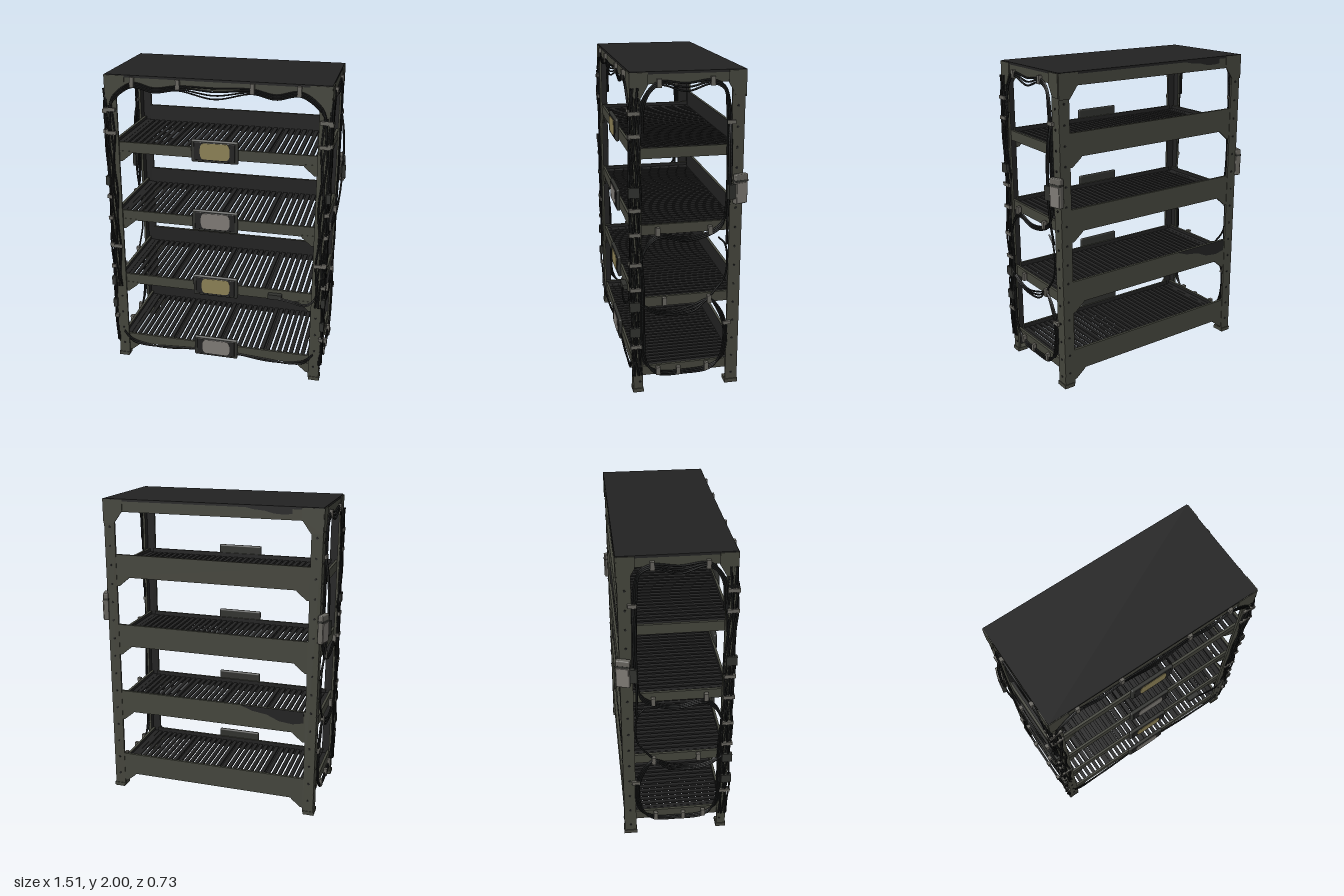
import * as THREE from 'three';
import { RoundedBoxGeometry } from 'three/addons/geometries/RoundedBoxGeometry.js';

const mat = (name, color, side = THREE.FrontSide) => {
  const m = new THREE.MeshStandardMaterial({ color, side });
  m.name = name;
  return m;
};

export function createModel() {
  const olive = mat('olive paint', 0x44453c);
  const dark = mat('dark sheet', 0x222222);
  const black = mat('cable black', 0x161717);
  const frameGrey = mat('label frame', 0x30312e);
  const grey = mat('pale grey', 0x7e7a75);
  const yellow = mat('faded yellow', 0x8b8055);
  const clipGrey = mat('clip grey', 0x66645e);

  const root = new THREE.Group();
  root.name = 'storageRack';
  const add = (name, geo, material, x = 0, y = 0, z = 0, parent = root) => {
    const m = new THREE.Mesh(geo, material);
    m.name = name;
    m.position.set(x, y, z);
    parent.add(m);
    return m;
  };
  // box given by its minimum and maximum corners
  const box = (name, x0, x1, y0, y1, z0, z1, material) =>
    add(name, new THREE.BoxGeometry(Math.abs(x1 - x0), y1 - y0, Math.abs(z1 - z0)), material,
      (x0 + x1) / 2, (y0 + y1) / 2, (z0 + z1) / 2);
  // olive everywhere, dark on one face (0 +x, 1 -x, 2 +y, 3 -y, 4 +z, 5 -z)
  const lined = face => [0, 1, 2, 3, 4, 5].map(i => (i === face ? dark : olive));

  const plate = (name, pts, depth, material, x, y, z, ry = 0) => {
    const s = new THREE.Shape(pts.map(p => new THREE.Vector2(p[0], p[1])));
    const m = add(name, new THREE.ExtrudeGeometry(s, { depth, bevelEnabled: false }), material, x, y, z);
    m.rotation.y = ry;
    return m;
  };
  const cable = (name, pts, r = 0.006) => {
    const c = new THREE.CatmullRomCurve3(pts.map(p => new THREE.Vector3(...p)));
    return add(name, new THREE.TubeGeometry(c, pts.length * 6, r, 6), black);
  };
  const clip = (x, y, z, w, h, d) =>
    add('cableClip', new THREE.BoxGeometry(w, h, d), clipGrey, x, y, z);

  // roof sheet with its four edge rails
  box('roofSheet', -0.7, 0.7, 1.985, 2, -0.35, 0.325, dark);
  box('roofFrontRail', -0.69, 0.69, 1.93, 1.987, 0.305, 0.322, lined(5));
  box('roofBackRail', -0.69, 0.69, 1.92, 1.987, -0.347, -0.33, lined(4));
  for (const s of [-1, 1])
    box('roofSideRail', s * 0.682, s * 0.698, 1.93, 1.987, -0.34, 0.32, lined(s > 0 ? 1 : 0));

  // angle posts, feet, corner brackets and bolts
  const boltGeo = new THREE.CylinderGeometry(0.007, 0.007, 0.006, 8);
  for (const s of [-1, 1]) for (const f of [-1, 1]) {
    const zo = f > 0 ? 0.323 : -0.345, zi = f > 0 ? 0.265 : -0.268;
    box('postFace', s * 0.63, s * 0.7, 0.015, 1.99, zo, zo - f * 0.014, lined(f > 0 ? 5 : 4));
    box('postSide', s * 0.686, s * 0.701, 0.015, 1.99, zo - f * 0.001, zi, lined(s > 0 ? 1 : 0));
    box('foot', s * 0.635, s * 0.706, 0, 0.025, zo + f * 0.004, zi - f * 0.004, olive);
    plate('cornerBracket', [[0, 0], [-s * 0.13, 0], [-s * 0.13, -0.07], [-s * 0.072, -0.15], [0, -0.15]],
      0.006, olive, s * 0.702, 1.996, f > 0 ? zo : zo - 0.006);
    plate('sideBracket', [[0, 0], [f * 0.1, 0], [f * 0.1, -0.07], [f * 0.06, -0.14], [0, -0.14]],
      0.006, olive, s > 0 ? 0.7 : -0.706, 1.996, zo, Math.PI / 2);
    for (let i = 0; i < 16; i++) {
      const y = 0.07 + i * 0.123;
      add('postBolt', boltGeo, dark, s * 0.702, y, zo - f * 0.04).rotation.z = Math.PI / 2;
      add('postBolt', boltGeo, dark, s * 0.665, y + 0.03, zo + f * 0.001).rotation.x = Math.PI / 2;
    }
  }

  // shelves
  const slatGeo = new THREE.BoxGeometry(0.026, 0.012, 0.62);
  [0.105, 0.57, 1.035, 1.5].forEach((y, k) => {
    box('shelfFrontRail', -0.64, 0.64, y, y + 0.068, 0.295, 0.31, lined(5));
    box('shelfBackRail', -0.64, 0.64, y, y + 0.147, -0.342, -0.325, lined(4));
    for (const s of [-1, 1]) {
      box('shelfSideRail', s * 0.668, s * 0.685, y, y + 0.063, -0.33, 0.305, lined(s > 0 ? 1 : 0));
      for (const z of [0.3, -0.342])
        plate('railGusset', [[s * 0.635, 0.01], [s * 0.54, 0.01], [s * 0.555, -0.01], [s * 0.615, -0.06], [s * 0.635, -0.06]],
          0.012, olive, 0, y, z);
      box('slatLedge', s * 0.635, s * 0.67, y + 0.03, y + 0.042, -0.33, 0.3, dark);
    }
    for (let i = 0; i < 32; i++)
      add('shelfSlat', slatGeo, dark, -0.62 + i * 0.04, y + 0.036, -0.014);
    for (const x of [-0.32, 0, 0.32])
      box('slatBearer', x - 0.012, x + 0.012, y + 0.012, y + 0.03, -0.325, 0.296, dark);

    // label holder with its coloured card
    const cy = y + 0.051;
    add('labelHolder', new RoundedBoxGeometry(0.3, 0.145, 0.024, 2, 0.011), frameGrey, -0.005, cy, 0.316);
    add('labelRim', new RoundedBoxGeometry(0.262, 0.116, 0.012, 2, 0.005), dark, -0.005, cy, 0.325);
    const r = new THREE.Shape();
    r.moveTo(-0.075, -0.05).lineTo(0.07, -0.05).quadraticCurveTo(0.097, -0.045, 0.095, 0)
      .quadraticCurveTo(0.097, 0.053, 0.07, 0.055).lineTo(-0.07, 0.053)
      .quadraticCurveTo(-0.095, 0.05, -0.095, 0).quadraticCurveTo(-0.095, -0.045, -0.075, -0.05);
    add('labelCard', new THREE.ExtrudeGeometry(r, { depth: 0.003, bevelEnabled: false }),
      k % 2 ? yellow : grey, -0.002, cy, 0.331);
  });

  // worn dark patches on the back rails
  const wear = [[-0.62, 0], [-0.62, -0.075], [-0.55, -0.09], [-0.46, -0.08], [-0.38, -0.045], [-0.28, -0.03], [-0.2, 0]];
  plate('wornPatch', wear, 0.002, dark, 0, 0.717, -0.3445);
  plate('wornPatch', wear.map(p => [p[0] * 0.7 - 0.08, p[1] * 0.4]), 0.002, dark, 0, 1.987, -0.3495);

  // cable runs hanging on the roof front
  for (let i = 0; i < 4; i++) {
    const d = i * 0.009;
    cable('roofFrontCable', [[-0.68, 1.78, 0.332], [-0.645, 1.87 - d, 0.334], [-0.52, 1.955 - d, 0.332], [-0.38, 1.93 - d, 0.335],
      [-0.23, 1.95 - d, 0.332], [0, 1.95 - i * 0.022, 0.337], [0.23, 1.955 - d, 0.332], [0.37, 1.93 - d, 0.335],
      [0.52, 1.955 - d, 0.332], [0.645, 1.87 - d, 0.334], [0.68, 1.78, 0.332]], 0.005);
  }
  for (const x of [-0.52, -0.23, 0.23, 0.51]) clip(x, 1.96, 0.332, 0.025, 0.06, 0.02);

  // bottom rail cables and the spur with its connector
  for (const s of [-1, 1])
    for (let i = 0; i < 2; i++)
      cable('bottomFrontCable', [[s * 0.66, 0.2, 0.33], [s * 0.6, 0.14 - i * 0.015, 0.327], [s * 0.5, 0.11 - i * 0.008, 0.322],
        [s * 0.35, 0.1 + i * 0.01, 0.32], [s * 0.14, 0.12, 0.316]]);
  for (let i = 0; i < 2; i++)
    cable('spurCable', [[0.4, 0.6 - i * 0.01, 0.335], [0.5, 0.595 - i * 0.01, 0.355], [0.6, 0.58 - i * 0.012, 0.355],
      [0.655, 0.62, 0.34], [0.67, 0.75, 0.333]], 0.005);
  box('spurConnector', 0.35, 0.44, 0.585, 0.617, 0.312, 0.345, frameGrey);

  // cables, clips and junction boxes on both ends
  for (const s of [-1, 1]) {
    for (let i = 0; i < 7; i++) {
      const pts = [];
      for (let j = 0; j <= 14; j++) {
        const y = 0.12 + j * 0.128;
        pts.push([s * (0.706 + 0.008 * Math.sin(j * 1.3 + i * 2.1)), y, 0.275 + i * 0.009 + 0.008 * Math.sin(j * 1.9 + i * 1.7)]);
      }
      cable('postSideCable', pts);
    }
    for (let i = 0; i < 4; i++) {
      const pts = [];
      for (let j = 0; j <= 12; j++)
        pts.push([s * (0.657 + i * 0.013 + 0.007 * Math.sin(j * 1.7 + i * 2)), 0.55 + j * 0.105, 0.33 + 0.003 * Math.sin(j + i)]);
      cable('postFrontCable', pts);
    }
    // upper and lower loops around the end openings
    for (let i = 0; i < 3; i++) {
      const d = i * 0.01, x = s * (0.704 + i * 0.002);
      cable('upperEndLoop', [[x, 1.65, 0.275 - d], [x, 1.82, 0.265 - d], [x, 1.92 - d, 0.2], [x, 1.945 - d, 0.15], [x, 1.93 - i * 0.022, 0],
        [x, 1.945 - d, -0.15], [x, 1.91 - d, -0.22], [x, 1.8, -0.255 + d], [x, 1.5, -0.265 + d], [x, 1.2, -0.262 + d],
        [x, 1.09 - d, -0.22], [x, 1.04 - d, -0.15], [x, 1.01 - d, 0], [x, 1.04 - d, 0.16], [x, 0.99 - d, 0.23], [x, 0.88, 0.275]]);
      cable('lowerEndLoop', [[x, 0.92, 0.27], [x, 0.7, 0.275 - d], [x, 0.4, 0.275 - d], [x, 0.22, 0.265 - d], [x, 0.14 - d, 0.18],
        [x, 0.125 - d, 0], [x, 0.14 - d, -0.16], [x, 0.2, -0.245 + d], [x, 0.4, -0.265 + d], [x, 0.53, -0.22 + d],
        [x, 0.6, -0.15], [x, 0.57 - d * 2, -0.06], [x, 0.535 - d, 0.09], [x, 0.56 - d, 0.2], [x, 0.6, 0.28]]);
    }
    cable('backRiseCable', [[s * 0.704, 1.0, -0.2], [s * 0.705, 0.95, -0.245], [s * 0.705, 0.75, -0.25], [s * 0.704, 0.62, -0.16]]);
    for (let i = 0; i < 2; i++)
      cable('boxCable', [[s * 0.705, 1.7, -0.26], [s * 0.725, 1.58, -0.25 - i * 0.012], [s * 0.735, 1.4, -0.25 - i * 0.012],
        [s * 0.73, 1.2, -0.25], [s * 0.72, 1.08, -0.25], [s * 0.703, 0.95, -0.255]], 0.007);

    for (const [y, z] of [[1.935, 0.16], [1.94, -0.15], [1.06, 0.17], [1.05, -0.15], [0.61, 0.13], [0.6, -0.15],
      [0.14, 0.17], [0.13, 0.04], [0.14, -0.14]]) clip(s * 0.707, y, z, 0.024, 0.05, 0.026);
    for (const y of [1.77, 1.64, 1.2, 1.05, 0.86, 0.7, 0.32]) clip(s * 0.705, y, 0.307, 0.03, 0.022, 0.07);
    for (const y of [1.78, 1.63, 0.85]) clip(s * 0.675, y, 0.333, 0.075, 0.022, 0.014);
    for (const y of [1.31, 0.59, 0.42]) box('cableConnector', s * 0.695, s * 0.722, y - 0.03, y + 0.03, 0.28, 0.345, frameGrey);
    for (const y of [1.7, 0.43]) clip(s * 0.707, y, -0.265, 0.022, 0.022, 0.05);

    const yb = s > 0 ? 1.3 : 1.27;
    const junction = new THREE.Group();
    junction.name = 'junctionBox';
    junction.position.set(s * 0.718, yb, -0.325);
    junction.rotation.y = s * 0.3;
    root.add(junction);
    add('boxBody', new RoundedBoxGeometry(0.034, 0.18, 0.085, 2, 0.006), clipGrey, 0, 0, 0, junction);
    add('boxLid', new THREE.BoxGeometry(0.008, 0.12, 0.07), grey, s * 0.017, -0.02, 0, junction);
    add('boxBand', new THREE.BoxGeometry(0.036, 0.012, 0.088), frameGrey, 0, 0.05, 0, junction);
    add('boxInlet', new THREE.BoxGeometry(0.026, 0.09, 0.05), frameGrey, 0, -0.01, 0.06, junction);
  }
  return root;
}
